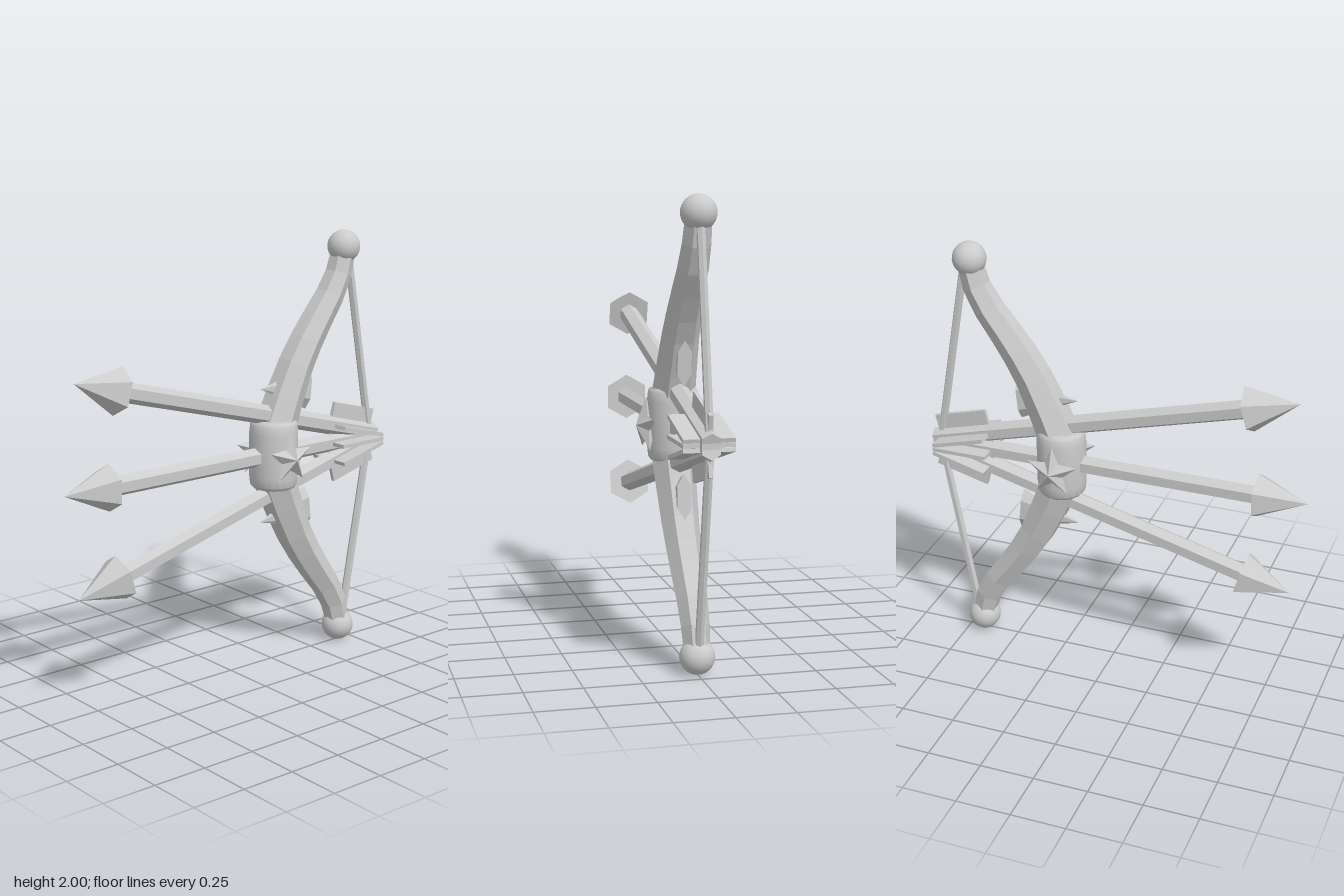
import * as THREE from 'three';
import { toCreasedNormals } from 'three/addons/utils/BufferGeometryUtils.js';

const flat = new THREE.MeshStandardMaterial({ color: 0xcccccc, flatShading: true });
const smooth = new THREE.MeshStandardMaterial({ color: 0xcccccc });

function add(parent, name, geometry, material = flat) {
  const mesh = new THREE.Mesh(geometry, material);
  mesh.name = name;
  parent.add(mesh);
  return mesh;
}

// Six-sided rod between two points
function rod(a, b, radius) {
  const dir = new THREE.Vector3().subVectors(b, a);
  const g = new THREE.CylinderGeometry(radius, radius, dir.length(), 6);
  const q = new THREE.Quaternion().setFromUnitVectors(new THREE.Vector3(0, 1, 0), dir.clone().normalize());
  g.applyQuaternion(q);
  return g.translate((a.x + b.x) / 2, (a.y + b.y) / 2, (a.z + b.z) / 2);
}

// Hexagonal sections swept along the curved bow, tapering to the tips
function bowGeometry() {
  const half = [[0, -0.25], [0.13, -0.265], [0.25, -0.315], [0.4, -0.385], [0.5, -0.445],
    [0.6, -0.515], [0.7, -0.59], [0.8, -0.645], [0.93, -0.68]];
  const path = [...half.slice(1).reverse().map(([y, z]) => [-y, z]), ...half];
  const pos = [], index = [];
  path.forEach(([y, z], i) => {
    const [y0, z0] = path[Math.max(i - 1, 0)];
    const [y1, z1] = path[Math.min(i + 1, path.length - 1)];
    const len = Math.hypot(y1 - y0, z1 - z0);
    const ty = (y1 - y0) / len, tz = (z1 - z0) / len;
    const r = 0.105 - 0.053 * Math.abs(y);
    for (let j = 0; j < 6; j++) {
      const a = j * Math.PI / 3, s = r * Math.sin(a);
      pos.push(r * Math.cos(a), 1 + y - tz * s, z + ty * s);
      if (i < path.length - 1) {
        const p = i * 6 + j, q = i * 6 + (j + 1) % 6;
        index.push(p, p + 6, q, q, p + 6, q + 6);
      }
    }
  });
  const g = new THREE.BufferGeometry();
  g.setAttribute('position', new THREE.Float32BufferAttribute(pos, 3));
  g.setIndex(index);
  g.computeVertexNormals();
  return g;
}

// Five-pointed star with a raised apex on both faces, facing x
function starGeometry(outer, inner, depth) {
  const rim = i => {
    const r = i % 2 ? inner : outer, a = i * Math.PI / 5;
    return [0, r * Math.cos(a), r * Math.sin(a)];
  };
  const pos = [];
  for (let i = 0; i < 10; i++) {
    pos.push(depth, 0, 0, ...rim(i), ...rim(i + 1));
    pos.push(-depth, 0, 0, ...rim(i + 1), ...rim(i));
  }
  const g = new THREE.BufferGeometry();
  g.setAttribute('position', new THREE.Float32BufferAttribute(pos, 3));
  g.computeVertexNormals();
  return g;
}

// Arrow pointing along +z with its nock at the origin
function makeArrow(name) {
  const arrow = new THREE.Group();
  arrow.name = name;
  add(arrow, 'shaft', new THREE.CylinderGeometry(0.045, 0.045, 1.57, 6).rotateX(Math.PI / 2).translate(0, 0, 0.775));
  add(arrow, 'arrowhead', new THREE.ConeGeometry(0.107, 0.23, 6).rotateX(Math.PI / 2).translate(0, 0, 1.655));
  add(arrow, 'verticalFletching', new THREE.BoxGeometry(0.018, 0.22, 0.26).translate(0, 0, 0.15));
  add(arrow, 'horizontalFletching', new THREE.BoxGeometry(0.22, 0.018, 0.26).translate(0, 0, 0.15));
  return arrow;
}

export function createModel() {
  const model = new THREE.Group();
  model.name = 'bowWithArrows';

  add(model, 'bowLimbs', bowGeometry());

  // Rounded grip around the middle
  const profile = [[0, -0.16], [0.095, -0.16], [0.108, -0.145], [0.113, -0.1], [0.113, 0.1],
    [0.108, 0.145], [0.095, 0.16], [0, 0.16]].map(p => new THREE.Vector2(...p));
  const grip = toCreasedNormals(new THREE.LatheGeometry(profile, 20), 0.6);
  add(model, 'grip', grip.translate(0, 1.005, -0.255), smooth);

  // Parts mirrored above and below the grip
  for (const s of [1, -1]) {
    const side = s > 0 ? 'upper' : 'lower';
    add(model, side + 'TipBall', new THREE.SphereGeometry(0.076, 24, 16).translate(0, 1 + s * 0.924, -0.675), smooth);
    add(model, side + 'String', rod(new THREE.Vector3(0, 1 + s * 0.88, -0.705), new THREE.Vector3(0, 1, -0.86), 0.019));

    // Flattened spike passing through the limb
    const spike = add(model, side + 'Spike',
      new THREE.ConeGeometry(0.1, 0.285, 6).rotateX(Math.PI / 2).scale(0.35, 1, 1));
    spike.position.set(0, 1 + s * 0.3, -0.315);
    spike.rotation.x = -s * 0.1;
  }

  // Star ornaments on both sides of the grip
  for (const s of [1, -1]) {
    add(model, s > 0 ? 'leftStar' : 'rightStar', starGeometry(0.125, 0.055, 0.045).translate(s * 0.12, 1, -0.255));
  }

  // Three arrows fanning out from the string
  ['lowerArrow', 'middleArrow', 'upperArrow'].forEach((name, i) => {
    const arrow = makeArrow(name);
    arrow.position.set(0, 1 + (i - 1) * 0.014, -0.872);
    arrow.rotation.x = (1 - i) * Math.PI / 12;
    model.add(arrow);
  });

  return model;
}
